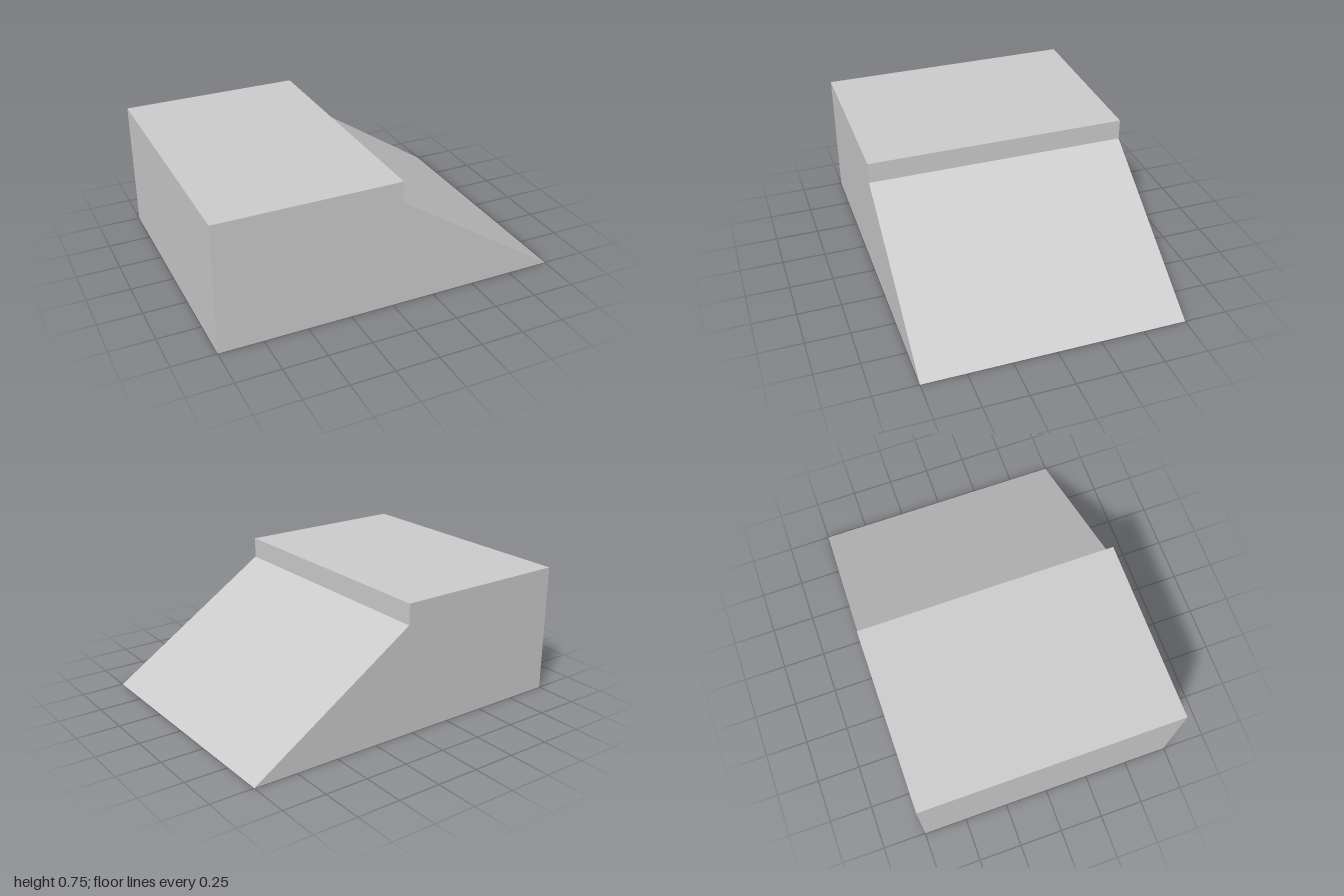
import * as THREE from 'three';

export function createModel() {
  const group = new THREE.Group();
  group.name = 'steppedRamp';

  // Side profile: flat platform, short step down, then a slope to the ground
  const profile = new THREE.Shape([
    [-1, 0], [1, 0], [0.04, 0.63], [0.04, 0.75], [-1, 0.75],
  ].map(([x, y]) => new THREE.Vector2(x, y)));

  // Extrude the profile across the full depth and centre it
  const depth = 1.5;
  const geometry = new THREE.ExtrudeGeometry(profile, { depth, bevelEnabled: false });
  geometry.translate(0, 0, -depth / 2);

  const material = new THREE.MeshStandardMaterial({ color: 0xcccccc, flatShading: true });
  const ramp = new THREE.Mesh(geometry, material);
  ramp.name = 'rampBlock';
  group.add(ramp);
  return group;
}
